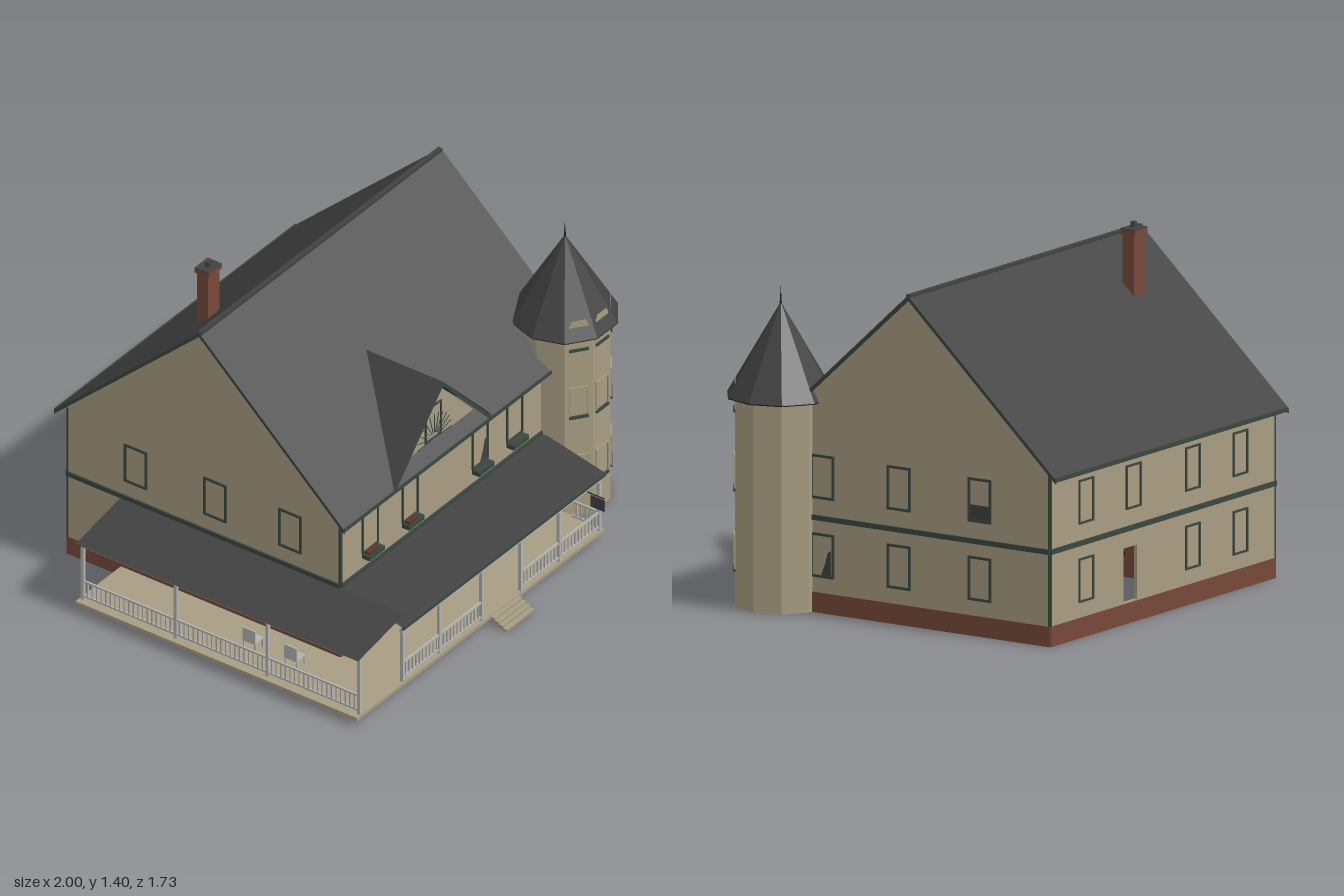
import * as THREE from 'three';

const mat = (name, color, side = THREE.FrontSide) => {
  const m = new THREE.MeshStandardMaterial({ color, side });
  m.name = name;
  return m;
};

export function createModel() {
  const house = new THREE.Group();
  house.name = 'house';
  const siding = mat('siding', 0xa89d82, THREE.DoubleSide);
  const roofing = mat('roofing', 0x414141, THREE.DoubleSide);
  const green = mat('greenTrim', 0x3a4740);
  const brick = mat('brick', 0x774839);
  const white = mat('porchWhite', 0xb2b4b0);
  const black = mat('black', 0x1a1a1a);
  const wood = mat('darkWood', 0x5a3526);

  const add = (name, geo, m, parent = house) => {
    const mesh = new THREE.Mesh(geo, m);
    mesh.name = name;
    parent.add(mesh);
    return mesh;
  };
  // box given by its limits
  const box = (name, x0, x1, y0, y1, z0, z1, m, parent = house) => {
    const mesh = add(name, new THREE.BoxGeometry(x1 - x0, y1 - y0, z1 - z0), m, parent);
    mesh.position.set((x0 + x1) / 2, (y0 + y1) / 2, (z0 + z1) / 2);
    return mesh;
  };
  const group = (name, parent = house) => {
    const g = new THREE.Group();
    g.name = name;
    parent.add(g);
    return g;
  };
  const rectPoints = (x, y, w, h) => [[x - w / 2, y], [x + w / 2, y], [x + w / 2, y + h], [x - w / 2, y + h]];
  const vecs = (pts) => pts.map((p) => new THREE.Vector2(...p));
  const plate = (pts, holes, depth) => {
    const s = new THREE.Shape(vecs(pts));
    holes.forEach((h) => s.holes.push(new THREE.Path(vecs(h))));
    return new THREE.ExtrudeGeometry(s, { depth, bevelEnabled: false });
  };
  // profile in (-z, y) swept along x
  const sweepX = (pts, x0, x1) => plate(pts, [], x1 - x0).rotateY(Math.PI / 2).translate(x0, 0, 0);
  const sheet = (corners) => {
    const g = new THREE.BufferGeometry();
    g.setAttribute('position', new THREE.Float32BufferAttribute(corners.flat(), 3));
    g.setIndex(corners.length === 4 ? [0, 1, 2, 0, 2, 3] : [0, 1, 2]);
    g.computeVertexNormals();
    return g;
  };
  // window outline of border b, showing on both faces of the wall
  const frame = (parent, u, y, w, h, m, b) =>
    add('windowFrame', plate(rectPoints(u, y, w, h), [rectPoints(u, y + b, w - 2 * b, h - 2 * b)], 0.024).translate(0, 0, -0.018), m, parent);

  // walls: each drawn in its own frame, facing local +z
  const makeWall = (name, pts, windows, b, pos, ry, doors = []) => {
    const g = group(name);
    g.position.set(...pos);
    g.rotation.y = ry;
    add('wallPanel', plate(pts, doors, 0.014).translate(0, 0, -0.014), siding, g);
    windows.forEach(([u, y, w, h]) => frame(g, u, y, w, h, green, b));
    const us = pts.map((p) => p[0]);
    const u0 = Math.min(...us), u1 = Math.max(...us);
    box('trimBand', u0, u1, 0.365, 0.385, 0, 0.008, green, g);
    box('foundation', u0, u1, 0, 0.08, -0.03, 0.004, brick, g);
    for (const [a, c] of [[u0, u0 + 0.007], [u1 - 0.007, u1]]) box('cornerTrim', a, c, 0.08, 0.68, 0, 0.004, green, g);
    return g;
  };
  const rows = (us, w) => us.flatMap((u) => [[u, 0.14, w, 0.175], [u, 0.45, w, 0.175]]);
  const flat = (a, b) => [[a, 0.08], [b, 0.08], [b, 0.69], [a, 0.69]];
  const frontUs = [-0.51, -0.25, 0.205, 0.43];
  const front = makeWall('frontWall', flat(-0.7, 0.82), rows(frontUs, 0.105), 0.007, [0, 0, 0.49], 0);
  makeWall('backWall', flat(-0.82, 0.7), [...rows([-0.58, 0.14, 0.46], 0.1), [-0.26, 0.45, 0.1, 0.175]], 0.008,
    [0, 0, -0.82], Math.PI, [rectPoints(-0.28, 0.085, 0.09, 0.215)]);
  const gable = (s) => {
    const p = [[-0.82, 0.08], [0.49, 0.08], [0.49, 0.695], [-0.165, 1.295], [-0.82, 0.695]];
    return s > 0 ? p : p.map(([u, y]) => [-u, y]).reverse();
  };
  const right = makeWall('rightGableWall', gable(-1), rows([-0.25, 0.11, 0.49], 0.11), 0.01, [0.82, 0, 0], Math.PI / 2);
  makeWall('leftGableWall', gable(1), rows([-0.49, -0.11, 0.25], 0.11), 0.01, [-0.7, 0, 0], -Math.PI / 2);
  box('frontDoor', -0.097, 0.015, 0.08, 0.27, 0.47, 0.496, green);
  box('doorStoop', -0.125, 0.045, 0.045, 0.085, 0.49, 0.55, brick);
  frontUs.forEach((u, i) => {
    box('flowerBox', u - 0.05, u + 0.05, 0.428, 0.448, 0, 0.035, green, front);
    if (i < 2) box('flowerSoil', u - 0.04, u + 0.02, 0.448, 0.458, 0.006, 0.03, wood, front);
  });
  // drawn curtains in a few windows
  const curtain = [[0, 0], [0.045, 0], [0.045, 0.1], [0.03, 0.09], [0.02, 0.05]];
  for (const y of [0.147, 0.455]) add('curtain', plate(curtain, [], 0.003).translate(0.208, y, 0), roofing, front);
  add('curtain', plate(curtain, [], 0.003).translate(-0.255, 0.15, 0), roofing, right);
  box('blind', 0.445, 0.535, 0.46, 0.518, 0, 0.003, roofing, right);

  // interior
  const inside = group('interior');
  box('upperFloor', -0.686, 0.806, 0.36, 0.372, -0.806, 0.476, siding, inside);
  for (let i = 0; i < 10; i++) {
    const z = 0.04 - i * 0.026;
    box('stair', -0.53, -0.42, 0.09 + i * 0.018, 0.12 + i * 0.026, z - 0.026, z, black, inside);
  }
  box('table', -0.55, -0.33, 0.15, 0.165, 0.08, 0.24, wood, inside);
  box('counter', -0.2, 0.05, 0.09, 0.17, -0.1, 0, siding, inside);
  const loop = (x0, x1, z0, z1) => {
    for (const x of [x0, x1]) box('baseboard', x - 0.005, x + 0.005, 0.085, 0.1, z0, z1, black, inside);
    for (const z of [z0, z1]) box('baseboard', x0, x1, 0.085, 0.1, z - 0.005, z + 0.005, black, inside);
  };
  loop(-0.65, 0.33, -0.33, 0.4);

  // main roof
  const chevron = (t, o) => [[-0.53 - o, 0.67 - o], [0.165, 1.31], [0.86 + o, 0.67 - o], [0.86 + o, 0.67 - o - t], [0.165, 1.31 - t], [-0.53 - o, 0.67 - o - t]].reverse();
  add('mainRoof', sweepX(chevron(0.013, 0), -0.73, 0.84), roofing);
  for (const x of [-0.732, 0.836]) add('rakeTrim', sweepX(chevron(0.018, 0.001), x, x + 0.006), green);
  for (const z of [-0.862, 0.528]) box('eaveTrim', -0.73, 0.84, 0.66, 0.675, z, z + 0.005, green);
  box('ridgeCap', -0.73, 0.84, 1.3, 1.313, -0.175, -0.155, roofing);

  // front dormer
  const dormer = group('dormer');
  dormer.position.x = -0.087;
  for (const s of [-1, 1]) {
    add('dormerRoof', sheet([[0, 1.01, 0.53], [0, 1.01, 0.162], [s * 0.32, 0.68, 0.53]]), roofing, dormer);
  }
  add('dormerWall', plate([[-0.27, 0.71], [0.27, 0.71], [0, 0.99]], [], 0.01).translate(0, 0, 0.47), siding, dormer);
  add('dormerRake', plate([[-0.32, 0.675], [-0.3, 0.675], [0, 0.99], [0.3, 0.675], [0.32, 0.675], [0, 1.008]], [], 0.006).translate(0, 0, 0.524), green, dormer);
  const dormerFace = group('dormerFace', dormer);
  dormerFace.position.z = 0.48;
  frame(dormerFace, 0, 0.725, 0.105, 0.155, green, 0.006);
  for (let i = 0; i <= 12; i++) {
    const ray = add('sunburstRay', new THREE.BoxGeometry(0.085, 0.0018, 0.003).translate(0.07, 0, 0), green, dormerFace);
    ray.rotation.z = (i / 12) * Math.PI;
    ray.position.set(0, 0.728, 0.008);
  }

  // chimney
  box('chimney', -0.455, -0.38, 0, 1.36, -0.378, -0.325, brick);
  box('chimneyCap', -0.46, -0.375, 1.355, 1.374, -0.386, -0.318, brick);
  box('chimneyTop', -0.46, -0.375, 1.374, 1.378, -0.386, -0.318, roofing);
  const flue = add('flue', new THREE.CylinderGeometry(0.013, 0.013, 0.025, 10), roofing);
  flue.position.set(-0.418, 1.388, -0.351);

  // ten-sided corner tower
  const tower = group('tower');
  tower.position.set(0.783, 0, 0.473);
  const turn = Math.PI / 10;
  const ring = (r0, r1, h, y, open) => {
    const g = new THREE.CylinderGeometry(r0, r1, h, 10, 1, open, turn).toNonIndexed().translate(0, y + h / 2, 0);
    g.computeVertexNormals();
    return g;
  };
  add('towerWall', ring(0.185, 0.185, 0.835, 0, true), siding, tower);
  add('towerRoof', ring(0.001, 0.216, 0.365, 0.83, true), roofing, tower);
  add('towerSoffit', ring(0.215, 0.215, 0.006, 0.826, false), black, tower);
  add('finial', new THREE.ConeGeometry(0.005, 0.08, 8).translate(0, 1.22, 0), black, tower);
  for (const k of [-1, 0, 1]) {
    const face = group('towerFace', tower);
    face.rotation.y = k * 2 * turn;
    const out = group('towerWindows', face);
    out.position.z = 0.176;
    for (const y of [0.145, 0.46]) frame(out, 0, y, 0.08, 0.14, siding, 0.004);
    for (const y of [0.138, 0.455, 0.768]) box('towerSill', -0.04, 0.04, y, y + 0.012, 0, 0.008, green, out);
    add('topWindow', plate([[-0.04, 0.78], [0.04, 0.78], [0.04, 0.885], [0.03, 0.908], [-0.03, 0.908], [-0.04, 0.885]], [], 0.002), siding, out);
  }

  // wraparound porch
  const porch = group('porch');
  box('frontPorchFloor', -0.7, 0.61, 0.03, 0.045, 0.49, 0.79, siding, porch);
  box('sidePorchFloor', -1, -0.7, 0.03, 0.045, -0.56, 0.79, siding, porch);
  add('frontPorchRoof', sheet([[-0.705, 0.305, 0.795], [0.612, 0.305, 0.795], [0.612, 0.372, 0.49], [-0.705, 0.372, 0.49]]), roofing, porch);
  add('sidePorchRoof', sheet([[-1, 0.312, -0.56], [-1, 0.312, 0.795], [-0.7, 0.368, 0.795], [-0.7, 0.368, -0.56]]), roofing, porch);
  box('porchFascia', -0.705, 0.612, 0.293, 0.306, 0.788, 0.796, green, porch);
  box('frontBeam', -0.7, 0.6, 0.275, 0.293, 0.772, 0.786, white, porch);
  box('sideBeam', -0.976, -0.964, 0.29, 0.306, -0.55, 0.786, white, porch);
  const post = (x, z) => box('porchPost', x - 0.007, x + 0.007, 0.045, 0.3, z - 0.007, z + 0.007, white, porch);
  [-0.69, -0.45, -0.175, 0.08, 0.33, 0.59].forEach((x) => post(x, 0.779));
  [0.779, 0.34, -0.1, -0.545].forEach((z) => post(-0.97, z));
  // railing between two floor points
  const railing = (x0, z0, x1, z1) => {
    const g = group('railing', porch);
    g.position.set(x0, 0, z0);
    const len = Math.hypot(x1 - x0, z1 - z0);
    g.rotation.y = -Math.atan2(z1 - z0, x1 - x0);
    for (const y of [0.058, 0.125]) box('rail', 0, len, y, y + 0.008, -0.004, 0.004, white, g);
    const n = Math.round(len / 0.022);
    for (let i = 1; i < n; i++) {
      const u = (i / n) * len;
      box('baluster', u - 0.003, u + 0.003, 0.06, 0.128, -0.003, 0.003, white, g);
    }
  };
  railing(-0.69, 0.779, -0.175, 0.779);
  railing(0.08, 0.779, 0.59, 0.779);
  railing(0.59, 0.65, 0.59, 0.779);
  railing(-0.97, -0.545, -0.97, 0.779);
  for (let i = 0; i < 4; i++) {
    box('porchStep', -0.13, 0.05, 0.03 - i * 0.01, 0.04 - i * 0.01, 0.785 + i * 0.019, 0.81 + i * 0.019, siding, porch);
  }

  // porch chairs
  for (const z of [0.15, 0.35]) {
    const chair = group('porchChair', porch);
    box('chairSeat', -0.87, -0.82, 0.083, 0.09, z, z + 0.06, white, chair);
    box('chairBack', -0.877, -0.87, 0.083, 0.145, z, z + 0.06, white, chair);
    for (const x of [-0.875, -0.826]) for (const dz of [0, 0.054]) box('chairLeg', x, x + 0.006, 0.045, 0.085, z + dz, z + dz + 0.006, white, chair);
  }

  // hanging sign
  box('signBoard', 0.506, 0.511, 0.21, 0.262, 0.8, 0.865, roofing);
  box('signBracket', 0.507, 0.51, 0.268, 0.271, 0.78, 0.865, black);
  return house;
}
